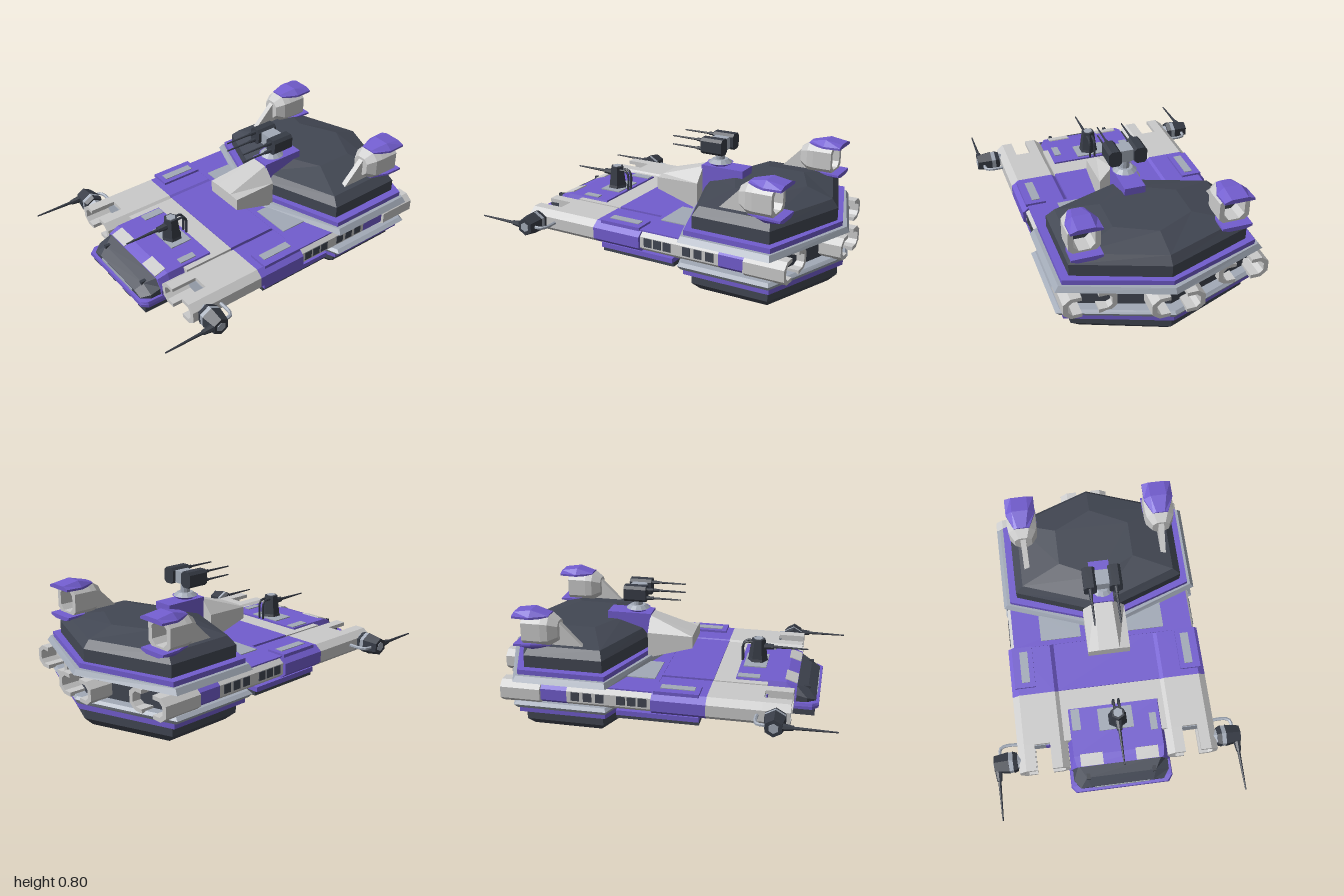
import * as THREE from 'three';

const mat = (name, color, double) => {
  const m = new THREE.MeshStandardMaterial({ color, flatShading: true });
  m.name = name;
  if (double) m.side = THREE.DoubleSide;
  return m;
};

export function createModel() {
  const light = mat('lightGrey', 0xcacaca), purple = mat('purple', 0x725dcf);
  const dark = mat('charcoal', 0x424753), slate = mat('slate', 0xa2aab7), gun = mat('gunmetal', 0x373c46);
  const root = new THREE.Group();
  root.name = 'hoverShip';

  const add = (name, geo, m, x = 0, y = 0, z = 0, parent = root) => {
    const mesh = new THREE.Mesh(geo, m);
    mesh.name = name;
    mesh.position.set(x, y, z);
    parent.add(mesh);
    return mesh;
  };
  const group = (name, x = 0, y = 0, z = 0, parent = root) => {
    const g = new THREE.Group();
    g.name = name;
    g.position.set(x, y, z);
    parent.add(g);
    return g;
  };
  // box from its limits
  const box = (name, m, x0, x1, y0, y1, z0, z1, parent = root) =>
    add(name, new THREE.BoxGeometry(x1 - x0, y1 - y0, z1 - z0), m, (x0 + x1) / 2, (y0 + y1) / 2, (z0 + z1) / 2, parent);
  // capped skin over convex rings, counterclockwise seen from the end
  const loft = (rings) => {
    const p = [], n = rings[0].length, last = rings.length - 1;
    const tri = (a, b, c) => p.push(...a, ...b, ...c);
    for (let i = 0; i < last; i++) for (let j = 0; j < n; j++) {
      const k = (j + 1) % n;
      tri(rings[i][j], rings[i][k], rings[i + 1][k]);
      tri(rings[i][j], rings[i + 1][k], rings[i + 1][j]);
    }
    for (let j = 1; j < n - 1; j++) {
      tri(rings[0][0], rings[0][j + 1], rings[0][j]);
      tri(rings[last][0], rings[last][j], rings[last][j + 1]);
    }
    const g = new THREE.BufferGeometry();
    g.setAttribute('position', new THREE.Float32BufferAttribute(p, 3));
    g.computeVertexNormals();
    return g;
  };
  const hex = (y, w, tip, cz) => [[w, y, -cz], [0, y, -tip], [-w, y, -cz], [-w, y, cz], [0, y, tip], [w, y, cz]];
  const shape = (pts) => new THREE.Shape(pts.map(([x, y]) => new THREE.Vector2(x, y)));
  const extrude = (s, depth) => new THREE.ExtrudeGeometry(s, { depth, bevelEnabled: false });
  const oct = (w, h, cx, cy) => [[w, -h + cy], [w, h - cy], [w - cx, h], [cx - w, h], [-w, h - cy], [-w, cy - h], [cx - w, -h], [w - cx, -h]];
  const rod = (name, m, r0, r1, len, x, y, z, parent, sides = 8) => {
    const g = new THREE.CylinderGeometry(r1, r0, len, sides);
    g.rotateX(Math.PI / 2);
    return add(name, g, m, x, y, z + len / 2, parent);
  };

  // six-sided citadel: domes, trim layers and rims
  const citadel = group('citadel', 0.012, 0, -0.52);
  const layer = (name, m, ...rings) => add(name, loft(rings.map((r) => hex(...r))), m, 0, 0, 0, citadel);
  layer('upperDome', dark, [0.41, 0.495, 0.405, 0.225], [0.49, 0.495, 0.405, 0.225], [0.535, 0.45, 0.37, 0.205], [0.582, 0.22, 0.22, 0.11]);
  layer('lowerDome', dark, [0, 0.22, 0.2, 0.1], [0.05, 0.44, 0.37, 0.2], [0.1, 0.495, 0.42, 0.225], [0.18, 0.495, 0.42, 0.225]);
  layer('upperTrim', purple, [0.38, 0.54, 0.435, 0.25], [0.42, 0.54, 0.435, 0.25]);
  layer('lowerTrim', purple, [0.165, 0.54, 0.45, 0.25], [0.205, 0.54, 0.45, 0.25]);
  layer('upperRim', slate, [0.355, 0.56, 0.46, 0.255], [0.362, 0.582, 0.475, 0.265], [0.392, 0.56, 0.46, 0.255]);
  layer('lowerRim', slate, [0.2, 0.56, 0.46, 0.255], [0.225, 0.582, 0.475, 0.265], [0.24, 0.56, 0.46, 0.255]);
  layer('core', dark, [0.21, 0.49, 0.4, 0.23], [0.37, 0.49, 0.4, 0.23]);

  // octagonal hull booms ending in forked, hollow C-shaped tips
  const boomShape = shape(oct(0.145, 0.064, 0.04, 0.032));
  const fork = shape([[-0.045, 0.064], [-0.105, 0.064], [-0.145, 0.032], [-0.145, -0.032], [-0.105, -0.064], [-0.045, -0.064],
    [-0.045, -0.042], [-0.095, -0.042], [-0.118, -0.022], [-0.118, 0.022], [-0.095, 0.042], [-0.045, 0.042]]);
  const forks = (x, z) => [1, -1].forEach((s) => {
    add('forkTip', extrude(fork, 0.15), light, x, 0.296, z).scale.x = s;
  });
  const inset = extrude(shape(oct(0.118, 0.042, 0.023, 0.02)), 0.004);
  const sections = [[0.3, 0.6, light, 0], [0, 0.3, purple, 0], [-0.48, 0, light, 0.018], [-0.63, -0.48, purple, 0.018], [-0.71, -0.63, light, 0]];
  for (const s of [-1, 1]) {
    for (const [z0, z1, m, shift] of sections)
      add('hullBoom', extrude(boomShape, z1 - z0), m, s * (0.428 - shift), 0.296, z0);
    forks(s * 0.428, 0.6);
    forks(s * 0.428, -0.86);
    add('frontInset', inset, slate, s * 0.428, 0.296, 0.6);
    add('rearInset', inset, dark, s * 0.428, 0.296, -0.714);
    // side windows
    for (const z of [-0.05, -0.11, -0.17, -0.29, -0.36, -0.43])
      box('sideWindow', dark, s * 0.556 - 0.003, s * 0.556 + 0.003, 0.275, 0.325, z - 0.024, z + 0.024);
    // slotted shoulder plates above, skirts below
    const sx = s * 0.49;
    box('shoulderPlate', purple, sx - 0.06, sx + 0.06, 0.355, 0.374, 0.01, 0.26);
    box('shoulderSlot', slate, s * 0.483 - 0.024, s * 0.483 + 0.024, 0.372, 0.378, 0.04, 0.23);
    box('skirtTrim', purple, sx - 0.06, sx + 0.06, 0.21, 0.238, -0.2, 0.26);
    box('skirt', dark, sx - 0.045, sx + 0.045, 0.185, 0.212, -0.2, 0.26);
    // deck panels beside the command block
    const panel = extrude(shape([[0.13, 0.02], [0.37, 0.02], [0.37, 0.18], [0.32, 0.18], [0.13, 0.1]]), 0.005);
    panel.rotateX(-Math.PI / 2);
    add('deckPanel', panel, slate, 0, 0.362, 0).scale.x = s;
  }
  box('purpleInset', purple, -0.41, -0.315, 0.262, 0.33, 0.602, 0.608);
  box('centreDeck', light, -0.3, 0.3, 0.238, 0.355, 0.3, 0.6);
  box('centreBand', purple, -0.3, 0.3, 0.238, 0.36, 0, 0.3);
  box('rearDeck', light, -0.3, 0.3, 0.238, 0.354, -0.7, 0);
  box('deckCover', purple, -0.535, 0.54, 0.354, 0.362, -0.28, 0.01);
  box('bellyCover', purple, -0.5, 0.5, 0.229, 0.237, -0.2, 0.26);
  // central rear nozzle
  add('rearBoom', extrude(boomShape, 0.25), light, 0, 0.296, -0.85);
  forks(0, -1);
  add('rearBoomInset', inset, dark, 0, 0.296, -0.854);

  // cockpit
  const cock = group('cockpit', 0.004, 0, 0);
  const trap = (z, w, t, y0, y1) => [[-w, y0, z], [w, y0, z], [w, (y0 + y1) / 2, z], [t, y1, z], [-t, y1, z], [-w, (y0 + y1) / 2, z]];
  add('cockpitHull', loft([trap(0.42, 0.285, 0.26, 0.22, 0.365), trap(0.7, 0.285, 0.26, 0.22, 0.362), trap(0.76, 0.285, 0.25, 0.22, 0.342)]), purple, 0, 0, 0, cock);
  add('canopy', loft([trap(0.75, 0.275, 0.24, 0.25, 0.344), trap(0.82, 0.275, 0.2, 0.25, 0.312), trap(0.868, 0.24, 0.18, 0.25, 0.275)]), dark, 0, 0, 0, cock);
  add('noseLip', loft([trap(0.74, 0.295, 0.29, 0.222, 0.255), trap(0.85, 0.295, 0.29, 0.222, 0.258), trap(0.885, 0.27, 0.26, 0.23, 0.255)]), purple, 0, 0, 0, cock);
  box('noseStrip', slate, -0.16, 0.16, 0.255, 0.272, 0.866, 0.872, cock);
  for (const s of [-1, 1]) {
    const brow = box('canopyBrow', light, s * 0.16 - 0.065, s * 0.16 + 0.065, 0.35, 0.358, 0.69, 0.76, cock);
    brow.rotation.x = 0.3;
    box('canopyPillar', gun, s * 0.19 - 0.01, s * 0.19 + 0.01, 0.25, 0.322, 0.76, 0.83, cock);
  }
  box('hatchPanel', slate, -0.095, 0.105, 0.363, 0.37, 0.44, 0.57, cock);
  box('sidePanelRight', slate, -0.25, -0.2, 0.363, 0.369, 0.425, 0.55, cock);
  box('sidePanelLeft', slate, 0.2, 0.24, 0.363, 0.369, 0.5, 0.6, cock);
  // cockpit belly with long ribs
  box('belly', dark, -0.28, 0.28, 0.2, 0.225, 0.43, 0.865, cock);
  for (const x of [-0.24, -0.08, 0.08, 0.24]) box('bellyRib', dark, x - 0.04, x + 0.04, 0.182, 0.202, 0.43, 0.865, cock);

  // command block and its purple back
  const cmd = group('commandBlock', 0.02, 0, 0);
  const bridge = (z, b, m, t, top) => [[-0.122, b, z], [0.122, b, z], [0.122, m, z], [t, top, z], [-t, top, z], [-0.122, m, z]];
  add('commandWedge', loft([bridge(-0.125, 0.375, 0.53, 0.05, 0.615), bridge(0.14, 0.455, 0.525, 0.06, 0.53)]), light, 0, 0, 0, cmd);
  box('commandBack', purple, -0.06, 0.06, 0.4, 0.625, -0.38, -0.12, cmd);

  // twin turret on top
  const turret = group('topTurret', 0.022, 0, -0.21);
  add('turretRing', new THREE.CylinderGeometry(0.075, 0.05, 0.015, 12), purple, 0, 0.635, 0, turret);
  add('turretCollar', new THREE.CylinderGeometry(0.045, 0.07, 0.02, 12), slate, 0, 0.652, 0, turret);
  add('turretPost', new THREE.CylinderGeometry(0.027, 0.027, 0.07, 10), slate, 0, 0.69, 0, turret);
  box('turretCradle', slate, -0.06, 0.06, 0.715, 0.785, -0.04, 0.05, turret);
  for (const s of [-1, 1]) {
    add('gunPod', extrude(shape(oct(0.037, 0.046, 0.016, 0.016)), 0.13), gun, s * 0.073, 0.753, -0.06, turret);
    for (const [y, len] of [[0.777, 0.2], [0.727, 0.2]]) {
      rod('barrelSleeve', gun, 0.012, 0.01, 0.05, s * 0.073, y, 0.06, turret);
      rod('barrel', gun, 0.007, 0.004, len, s * 0.073, y, 0.07, turret);
    }
  }

  // single-barrel deck turret
  const deck = group('deckTurret', 0.02, 0, 0.51);
  add('deckTurretBase', new THREE.CylinderGeometry(0.055, 0.062, 0.02, 6), gun, 0, 0.376, 0, deck);
  add('deckTurretBody', new THREE.CylinderGeometry(0.04, 0.055, 0.115, 6), gun, 0, 0.443, 0, deck);
  add('deckTurretCap', new THREE.CylinderGeometry(0.028, 0.028, 0.006, 6), slate, 0, 0.502, 0, deck);
  rod('barrelSleeve', gun, 0.022, 0.016, 0.06, 0, 0.455, 0.03, deck);
  rod('barrel', gun, 0.01, 0.004, 0.22, 0, 0.455, 0.07, deck);
  const hose = new THREE.CatmullRomCurve3([[0, 0.48, -0.03], [0, 0.48, -0.07], [0, 0.46, -0.088], [0, 0.365, -0.088]].map((p) => new THREE.Vector3(...p)));
  for (const x of [-0.015, 0.015]) add('turretHose', new THREE.TubeGeometry(hose, 10, 0.007, 6), gun, x, 0, 0, deck);

  // side cannons
  for (const s of [-1, 1]) {
    const c = group('sideCannon', 0, 0, 0);
    c.scale.x = s;
    const drum = (name, m, r0, r1, x0, x1) => {
      const g = new THREE.CylinderGeometry(r1, r0, x1 - x0, 6);
      g.rotateY(Math.PI / 6);
      g.rotateZ(-Math.PI / 2);
      return add(name, g, m, (x0 + x1) / 2, 0.303, 0.675, c);
    };
    drum('cannonMount', slate, 0.035, 0.045, 0.55, 0.585);
    drum('cannonBody', gun, 0.055, 0.065, 0.58, 0.605);
    drum('cannonBand', slate, 0.062, 0.062, 0.605, 0.63);
    drum('cannonHead', gun, 0.065, 0.05, 0.63, 0.715);
    drum('cannonHub', slate, 0.028, 0.028, 0.71, 0.718);
    rod('barrelSleeve', gun, 0.022, 0.014, 0.06, 0.693, 0.305, 0.715, c);
    rod('barrel', gun, 0.01, 0.004, 0.25, 0.693, 0.305, 0.75, c);
    const pipe = new THREE.CatmullRomCurve3([[0.55, 0.3, 0.575], [0.65, 0.3, 0.575], [0.675, 0.3, 0.59], [0.68, 0.3, 0.64]].map((p) => new THREE.Vector3(...p)));
    add('cannonPipe', new THREE.TubeGeometry(pipe, 10, 0.01, 6), slate, 0, 0, 0, c);
  }

  // rear thruster pods
  const ring = (z, w, h, cx, cy) => oct(w, h, cx, cy).map(([x, y]) => [x, y, z]);
  const shell = (z, w, y0, y1) => [[-w, y0, z], [w, y0, z], [w, y0 + 0.012, z], [w * 0.55, y1, z], [-w * 0.55, y1, z], [-w, y0 + 0.012, z]];
  for (const s of [-1, 1]) {
    const pod = group('thrusterPod', 0.01 + s * 0.41, 0.63, 0);
    const tube = shape(oct(0.086, 0.09, 0.04, 0.04));
    tube.holes.push(new THREE.Path(oct(0.058, 0.062, 0.027, 0.027).map(([x, y]) => new THREE.Vector2(x, y))));
    add('podTube', extrude(tube, 0.11), light, 0, 0, -0.75, pod);
    add('podNose', loft([ring(-0.64, 0.086, 0.09, 0.04, 0.04), ring(-0.6, 0.08, 0.085, 0.038, 0.038), ring(-0.55, 0.05, 0.055, 0.025, 0.025)]), light, 0, 0, 0, pod);
    box('podInterior', dark, -0.06, 0.06, -0.062, 0.062, -0.65, -0.644, pod);
    const fin = extrude(shape([[0.42, -0.09], [0.56, 0.05], [0.62, 0.05], [0.62, -0.09]]), 0.032);
    fin.rotateY(Math.PI / 2);
    add('podFin', fin, light, -0.016, 0, 0, pod);
    for (const v of [1, -1])
      add('podShell', loft([shell(-0.8, 0.086, 0.075, 0.1), shell(-0.7, 0.086, 0.072, 0.116), shell(-0.6, 0.045, 0.075, 0.093)]), purple, 0, 0, 0, pod).scale.y = v;
  }
  return root;
}
